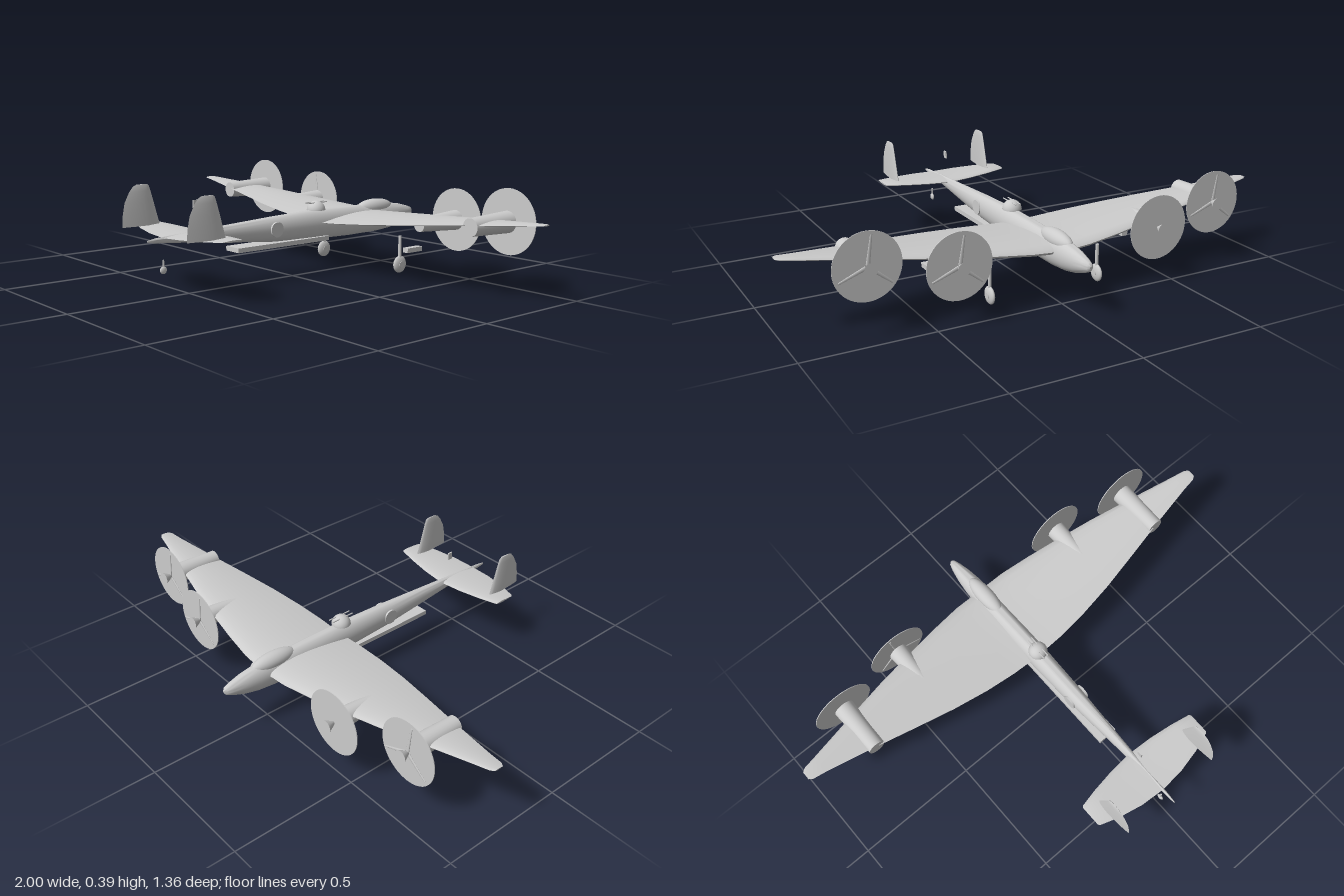
import * as THREE from 'three';
import { toCreasedNormals } from 'three/addons/utils/BufferGeometryUtils.js';

const grey = new THREE.MeshStandardMaterial({ color: 0xcccccc, side: THREE.DoubleSide });

function add(parent, name, geometry, x = 0, y = 0, z = 0) {
  const mesh = new THREE.Mesh(geometry, grey);
  mesh.name = name;
  mesh.position.set(x, y, z);
  parent.add(mesh);
  return mesh;
}

// Skin over a row of closed rings, with flat end caps
function loft(rings, crease = 0.7) {
  const n = rings[0].length, pos = [], idx = [];
  rings.forEach(r => r.forEach(p => pos.push(...p)));
  for (let i = 0; i < rings.length - 1; i++) {
    for (let j = 0; j < n; j++) {
      const a = i * n + j, b = i * n + (j + 1) % n;
      idx.push(a, b, a + n, b, b + n, a + n);
    }
  }
  const last = (rings.length - 1) * n;
  for (let j = 1; j < n - 1; j++) idx.push(0, j + 1, j, last, last + j, last + j + 1);
  // Turn the faces outward using the sign of the enclosed volume
  const v = k => new THREE.Vector3().fromArray(pos, k * 3);
  let volume = 0;
  for (let i = 0; i < idx.length; i += 3) volume += v(idx[i]).dot(v(idx[i + 1]).cross(v(idx[i + 2])));
  if (volume < 0) idx.reverse();
  const g = new THREE.BufferGeometry();
  g.setAttribute('position', new THREE.Float32BufferAttribute(pos, 3));
  g.setIndex(idx);
  return toCreasedNormals(g, crease);
}

// Streamlined section as [chord fraction, thickness offset] pairs
function airfoil(steps = 10) {
  const pts = [];
  for (let i = 0; i < steps * 2; i++) {
    const a = (i / steps) * Math.PI;
    const c = (1 - Math.cos(a)) / 2;
    const t = 1.3 * Math.sqrt(c) * (1 - c);
    pts.push([c, (a <= Math.PI ? 1 : -1) * t]);
  }
  return pts;
}

// Horizontal surface from stations [x, leading z, trailing z, y, thickness], mirrored about x = 0
function surface(stations) {
  const all = [...stations.slice(1).reverse().map(([x, ...r]) => [-x, ...r]), ...stations];
  return loft(all.map(([x, z0, z1, y, t]) => airfoil().map(([c, h]) => [x, y + h * t, z0 + (z1 - z0) * c])));
}

function createModel() {
  const plane = new THREE.Group();
  plane.name = 'aircraft';

  // Fuselage: z, half width, bottom, top
  const hull = [
    [-0.683, 0.004, 0.2, 0.212], [-0.675, 0.013, 0.188, 0.222], [-0.65, 0.021, 0.176, 0.231],
    [-0.6, 0.031, 0.158, 0.244], [-0.54, 0.038, 0.145, 0.253], [-0.46, 0.041, 0.138, 0.257],
    [-0.3, 0.041, 0.136, 0.26], [-0.1, 0.04, 0.14, 0.261], [0.1, 0.034, 0.152, 0.254],
    [0.3, 0.022, 0.172, 0.244], [0.5, 0.011, 0.194, 0.234], [0.64, 0.005, 0.207, 0.226],
    [0.675, 0.002, 0.212, 0.22]
  ];
  add(plane, 'fuselage', loft(hull.map(([z, w, b, t]) => Array.from({ length: 28 }, (_, i) => {
    const a = (i / 28) * Math.PI * 2;
    return [w * Math.cos(a), (b + t) / 2 + (t - b) / 2 * Math.sin(a), z];
  }))));

  // Canopy, dorsal turret with guns, and belly bay
  const canopy = new THREE.SphereGeometry(1, 24, 16).scale(0.034, 0.035, 0.1);
  add(plane, 'canopy', canopy, 0, 0.242, -0.455);
  const dome = new THREE.SphereGeometry(0.038, 24, 12, 0, Math.PI * 2, 0, Math.PI / 2);
  add(plane, 'turretDome', dome, 0, 0.259, -0.126);
  for (const s of [-1, 1]) {
    const gun = new THREE.CylinderGeometry(0.0025, 0.0025, 0.1, 8).rotateX(Math.PI / 2);
    add(plane, 'turretGun', gun, s * 0.01, 0.29, -0.126);
    const disc = new THREE.CylinderGeometry(0.03, 0.03, 0.008, 32).rotateZ(Math.PI / 2);
    add(plane, 'sideDisc', disc, s * 0.034, 0.205, 0.105);
  }
  add(plane, 'bellyBay', new THREE.BoxGeometry(0.08, 0.018, 0.46), 0, 0.144, 0.068);

  // Wing with dihedral and curved taper
  add(plane, 'wing', surface([
    [0, -0.503, -0.125, 0.207, 0.055], [0.12, -0.5, -0.127, 0.215, 0.051],
    [0.25, -0.483, -0.138, 0.226, 0.046], [0.4, -0.458, -0.16, 0.24, 0.038],
    [0.55, -0.43, -0.19, 0.255, 0.03], [0.75, -0.385, -0.232, 0.274, 0.021],
    [0.93, -0.343, -0.267, 0.291, 0.012], [0.985, -0.331, -0.275, 0.296, 0.008],
    [1, -0.32, -0.285, 0.297, 0.004]
  ]));

  // Tailplane
  add(plane, 'tailplane', surface([
    [0, 0.42, 0.61, 0.223, 0.02], [0.1, 0.427, 0.603, 0.227, 0.018],
    [0.2, 0.442, 0.582, 0.232, 0.015], [0.275, 0.458, 0.557, 0.236, 0.011], [0.281, 0.463, 0.55, 0.236, 0.007]
  ]));

  // Twin fins: y, leading z, trailing z, thickness
  const finRows = [
    [0.237, 0.485, 0.65, 0.018], [0.28, 0.498, 0.648, 0.017], [0.33, 0.512, 0.638, 0.014],
    [0.37, 0.524, 0.617, 0.011], [0.39, 0.531, 0.6, 0.008], [0.396, 0.54, 0.585, 0.005]
  ];
  const finGeometry = loft(finRows.map(([y, z0, z1, t]) => airfoil().map(([c, h]) => [h * t, y, z0 + (z1 - z0) * c])));
  for (const s of [-1, 1]) add(plane, s > 0 ? 'leftFin' : 'rightFin', finGeometry, s * 0.216);
  add(plane, 'tailPlate', new THREE.BoxGeometry(0.005, 0.03, 0.02), 0, 0.335, 0.466);

  // Engines: x, y, disc z, front and rear nacelle radius
  const engines = [[0.418, 0.23, -0.507, 0.04, 0.027], [0.727, 0.265, -0.443, 0.042, 0.034]];
  for (const s of [-1, 1]) {
    engines.forEach(([x, y, z, r0, r1], k) => {
      const engine = new THREE.Group();
      engine.name = (k ? 'outer' : 'inner') + (s > 0 ? 'LeftEngine' : 'RightEngine');
      engine.position.set(s * x, y, z);
      plane.add(engine);
      const nacelle = new THREE.CylinderGeometry(r1, r0, 0.21, 28).rotateX(Math.PI / 2);
      add(engine, 'nacelle', nacelle, 0, 0, 0.112);
      const disc = new THREE.CylinderGeometry(0.126, 0.126, 0.003, 48).rotateX(Math.PI / 2);
      add(engine, 'propellerDisc', disc);
      const spinner = new THREE.ConeGeometry(0.025, 0.046, 24).rotateX(Math.PI / 2);
      add(engine, 'spinner', spinner, 0, 0, -0.013);
      // Three tapered blades; the inner right set sits behind its disc
      const bladeZ = s < 0 && k === 0 ? 0.004 : -0.004;
      for (let i = 0; i < 3; i++) {
        const blade = new THREE.CylinderGeometry(0.004, 0.008, 0.105, 8).scale(1, 1, 0.4).translate(0, 0.06, 0);
        add(engine, 'blade', blade, 0, 0, bladeZ).rotation.z = 0.15 + i * Math.PI * 2 / 3;
      }
    });

    // Nacelle blister and under-wing block
    add(plane, 'blister', new THREE.SphereGeometry(0.03, 20, 14).scale(0.75, 0.5, 1), s * 0.393, 0.238, -0.362);
    add(plane, 'underwingBlock', new THREE.BoxGeometry(0.026, 0.018, 0.08), s * 0.418, 0.139, -0.256);

    // Main landing gear
    const gear = new THREE.Group();
    gear.name = s > 0 ? 'leftMainGear' : 'rightMainGear';
    gear.position.set(s * 0.233, 0, -0.377);
    plane.add(gear);
    add(gear, 'strut', new THREE.CylinderGeometry(0.007, 0.007, 0.09, 12), 0, 0.109, 0);
    add(gear, 'wheel', new THREE.SphereGeometry(0.035, 28, 18).scale(0.36, 1, 1), 0, 0.037, 0);
    const hub = new THREE.CylinderGeometry(0.012, 0.012, 0.026, 16).rotateZ(Math.PI / 2);
    add(gear, 'wheelHub', hub, 0, 0.037, 0);
  }

  // Tail wheel
  add(plane, 'tailStrut', new THREE.CylinderGeometry(0.0035, 0.0035, 0.035, 10), 0, 0.125, 0.61);
  add(plane, 'tailWheel', new THREE.SphereGeometry(0.0145, 18, 12).scale(0.45, 1, 1), 0, 0.104, 0.61);

  return plane;
}

export { createModel };
